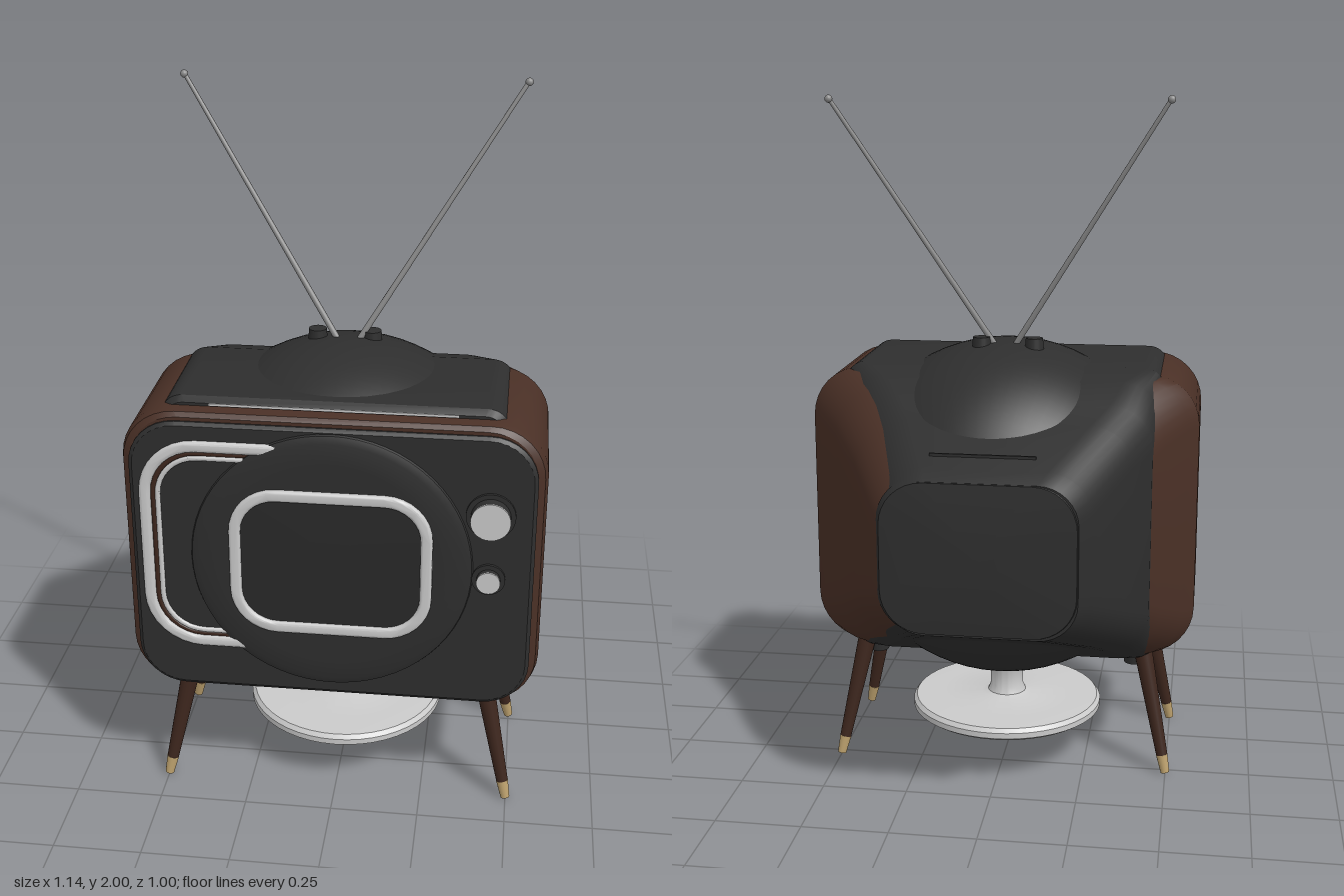
import * as THREE from 'three';
import { toCreasedNormals } from 'three/addons/utils/BufferGeometryUtils.js';

const mat = (name, color) => Object.assign(new THREE.MeshStandardMaterial({ color }), { name });

// Rounded rectangle as points, counter-clockwise seen from +z
function ring(x0, x1, y0, y1, r, n = 8) {
  const pts = [];
  [[x1 - r, y1 - r], [x0 + r, y1 - r], [x0 + r, y0 + r], [x1 - r, y0 + r]].forEach(([cx, cy], q) => {
    for (let i = 0; i <= n; i++) {
      const a = (q + i / n) * Math.PI / 2;
      pts.push(new THREE.Vector2(cx + r * Math.cos(a), cy + r * Math.sin(a)));
    }
  });
  return pts;
}

// Loft through sections [z, x0, x1, y0, y1, radius], ordered back to front
function loft(sections, backApex, frontApex, crease = 0.45) {
  const pos = [], idx = [];
  const rings = sections.map(([, ...s]) => ring(...s));
  const n = rings[0].length, last = sections.length - 1;
  rings.forEach((p, k) => p.forEach(v => pos.push(v.x, v.y, sections[k][0])));
  for (let k = 0; k < last; k++) for (let j = 0; j < n; j++) {
    const a = k * n + j, b = k * n + (j + 1) % n;
    idx.push(a, b, b + n, a, b + n, a + n);
  }
  const centre = (k, z) => {
    const [, x0, x1, y0, y1] = sections[k];
    pos.push((x0 + x1) / 2, (y0 + y1) / 2, z);
    return pos.length / 3 - 1;
  };
  const back = centre(0, backApex ?? sections[0][0]);
  const front = centre(last, frontApex ?? sections[last][0]);
  for (let j = 0; j < n; j++) {
    const k = (j + 1) % n;
    idx.push(back, k, j, front, last * n + j, last * n + k);
  }
  const g = new THREE.BufferGeometry();
  g.setAttribute('position', new THREE.Float32BufferAttribute(pos, 3));
  g.setIndex(idx);
  return toCreasedNormals(g, crease);
}

// Bevelled rounded-rectangle frame with an opening
function frame(x0, x1, y0, y1, r, t, z0, z1) {
  const b = Math.min(t, z1 - z0) * 0.35;
  const shape = new THREE.Shape(ring(x0, x1, y0, y1, r));
  shape.holes.push(new THREE.Path(ring(x0 + t, x1 - t, y0 + t, y1 - t, r - t)));
  const g = new THREE.ExtrudeGeometry(shape, {
    depth: z1 - z0 - 2 * b, bevelEnabled: true, bevelSize: b, bevelOffset: -b, bevelThickness: b, bevelSegments: 3,
  });
  return toCreasedNormals(g.translate(0, 0, z0 + b), 0.6);
}

const lathe = (pts, seg = 48) =>
  toCreasedNormals(new THREE.LatheGeometry(pts.map(p => new THREE.Vector2(...p)), seg), 0.6);

// Tapered rod between two points
function rod(a, b, ra, rb, seg = 16) {
  const d = b.clone().sub(a);
  const g = new THREE.CylinderGeometry(rb, ra, d.length(), seg);
  g.applyQuaternion(new THREE.Quaternion().setFromUnitVectors(new THREE.Vector3(0, 1, 0), d.normalize()));
  return g.translate((a.x + b.x) / 2, (a.y + b.y) / 2, (a.z + b.z) / 2);
}

export function createModel() {
  const wood = mat('walnut', 0x4a3026);
  const darkWood = mat('dark walnut', 0x3d261d);
  const black = mat('charcoal', 0x2e2e2e);
  const glass = mat('screen glass', 0x292929);
  const chrome = mat('chrome', 0xcacaca);
  const steel = mat('antenna steel', 0x8a8a8a);
  const brass = mat('brass', 0xbfa36f);
  const root = new THREE.Group();
  const add = (name, geo, m, x = 0, y = 0, z = 0) => {
    const mesh = new THREE.Mesh(geo, m);
    mesh.name = name;
    mesh.position.set(x, y, z);
    root.add(mesh);
    return mesh;
  };
  const V = (x, y, z) => new THREE.Vector3(x, y, z);

  // Wooden cabinet, tapering to the back
  add('cabinet', loft([
    [-0.472, -0.266, 0.266, 0.59, 1.005, 0.12],
    [-0.43, -0.295, 0.295, 0.573, 1.025, 0.13],
    [-0.23, -0.39, 0.39, 0.49, 1.105, 0.14],
    [-0.09, -0.477, 0.477, 0.41, 1.18, 0.15],
    [-0.01, -0.54, 0.54, 0.372, 1.212, 0.15],
    [0.035, -0.57, 0.57, 0.365, 1.217, 0.15],
    [0.41, -0.57, 0.57, 0.365, 1.217, 0.15],
    [0.437, -0.562, 0.562, 0.37, 1.212, 0.145],
    [0.447, -0.545, 0.545, 0.38, 1.2, 0.135],
  ]), wood);

  // Dark inner shell showing on the top, the underside and one rear flank
  add('innerShell', loft([
    [-0.474, -0.27, 0.256, 0.582, 1.012, 0.11],
    [-0.43, -0.301, 0.275, 0.563, 1.037, 0.12],
    [-0.23, -0.396, 0.35, 0.475, 1.12, 0.12],
    [-0.15, -0.444, 0.39, 0.435, 1.162, 0.12],
    [-0.06, -0.455, 0.43, 0.38, 1.21, 0.1],
    [0.03, -0.468, 0.468, 0.35, 1.235, 0.06],
    [0.385, -0.465, 0.465, 0.35, 1.238, 0.06],
    [0.405, -0.45, 0.45, 0.36, 1.225, 0.05],
  ]), black);
  add('topTrim', new THREE.BoxGeometry(0.66, 0.006, 0.006), chrome, 0, 1.222, 0.404);
  add('rearVent', new THREE.BoxGeometry(0.29, 0.012, 0.008), black, 0, 1.06, -0.375);

  // Shallow pointed back cover
  add('backCover', loft([
    [-0.478, -0.266, 0.266, 0.588, 1.01, 0.12],
    [-0.455, -0.277, 0.277, 0.58, 1.018, 0.12],
  ], -0.5), black);

  // Front panel
  add('frontPanel', loft([
    [0.43, -0.545, 0.545, 0.375, 1.19, 0.13],
    [0.452, -0.545, 0.545, 0.375, 1.19, 0.13],
    [0.459, -0.535, 0.535, 0.385, 1.18, 0.12],
  ]), black);

  // Partly covered rear screen with its double frame
  add('outerScreenFrame', frame(-0.52, 0.1, 0.51, 1.14, 0.16, 0.032, 0.445, 0.47), chrome);
  add('outerScreenLiner', frame(-0.488, 0.07, 0.54, 1.11, 0.13, 0.014, 0.445, 0.463), darkWood);
  add('outerScreenInnerFrame', frame(-0.475, 0.06, 0.553, 1.097, 0.12, 0.014, 0.445, 0.466), chrome);

  // Round set: a ball with a flat round bezel
  const R = 0.505, rim = 0.385, ball = [];
  const end = Math.PI - Math.asin(rim / R);
  for (let i = 0; i <= 40; i++) {
    const a = end * i / 40;
    ball.push([R * Math.sin(a), -R * Math.cos(a)]);
  }
  const front = lathe([...ball, [rim, 0.345], [0.38, 0.355], [0.36, 0.363], [0.3, 0.363], [0, 0.363]], 64);
  add('ballCase', front.rotateX(Math.PI / 2), black, 0, 0.795, 0.11);
  add('screenFrame', frame(-0.275, 0.275, 0.58, 1.015, 0.13, 0.032, 0.465, 0.487), chrome);
  add('screen', loft([
    [0.46, -0.245, 0.245, 0.61, 0.985, 0.1],
    [0.475, -0.245, 0.245, 0.61, 0.985, 0.1],
  ], undefined, 0.482), glass);

  // Control knobs
  [[0.965, 0.053, 0.495], [0.775, 0.032, 0.482]].forEach(([y, r, z]) => {
    const disc = (rad, z0, z1) => new THREE.CylinderGeometry(rad, rad, z1 - z0, 32)
      .rotateX(Math.PI / 2).translate(0.425, y, (z0 + z1) / 2);
    add('knobCollar', disc(r + 0.013, 0.45, 0.467), black);
    add('knob', disc(r, 0.45, z), black);
    add('knobFace', disc(r, z, z + 0.004), chrome);
  });

  // Antennas and their sockets
  for (const s of [-1, 1]) {
    const tip = V(0.47 * s, 1.99, -0.09);
    add('antenna', rod(V(0.025 * s, 1.28, 0.062), tip, 0.009, 0.006, 10), steel);
    add('antennaTip', new THREE.SphereGeometry(0.011, 16, 12), steel, tip.x, tip.y - 0.002, tip.z);
    add('antennaSocket', new THREE.CylinderGeometry(0.025, 0.029, 0.05, 24), black,
      s < 0 ? -0.088 : 0.067, 1.288, 0.045);
  }

  // Four splayed legs with brass feet
  for (const s of [-1, 1]) for (const [zTop, zFoot, zPad] of [[0.335, 0.39, 0.325], [0.035, -0.022, 0.07]]) {
    const top = V(0.42 * s, 0.39, zTop), foot = V(0.5 * s, 0.006, zFoot);
    const ankle = foot.clone().lerp(top, 0.14);
    add('leg', rod(ankle, top, 0.017, 0.028), darkWood);
    add('legFoot', rod(foot, ankle, 0.013, 0.0175), brass);
    add('legSocket', new THREE.CylinderGeometry(0.034, 0.03, 0.05, 20), black, 0.395 * s, 0.347, zPad);
  }

  // Pedestal
  add('pedestal', lathe([
    [0, 0.145], [0.275, 0.145], [0.29, 0.155], [0.29, 0.172], [0.28, 0.184], [0.2, 0.187],
    [0.075, 0.188], [0.058, 0.195], [0.05, 0.215], [0.05, 0.265], [0.058, 0.285], [0.065, 0.31],
  ]), chrome, 0, 0, 0.11);

  return root;
}
